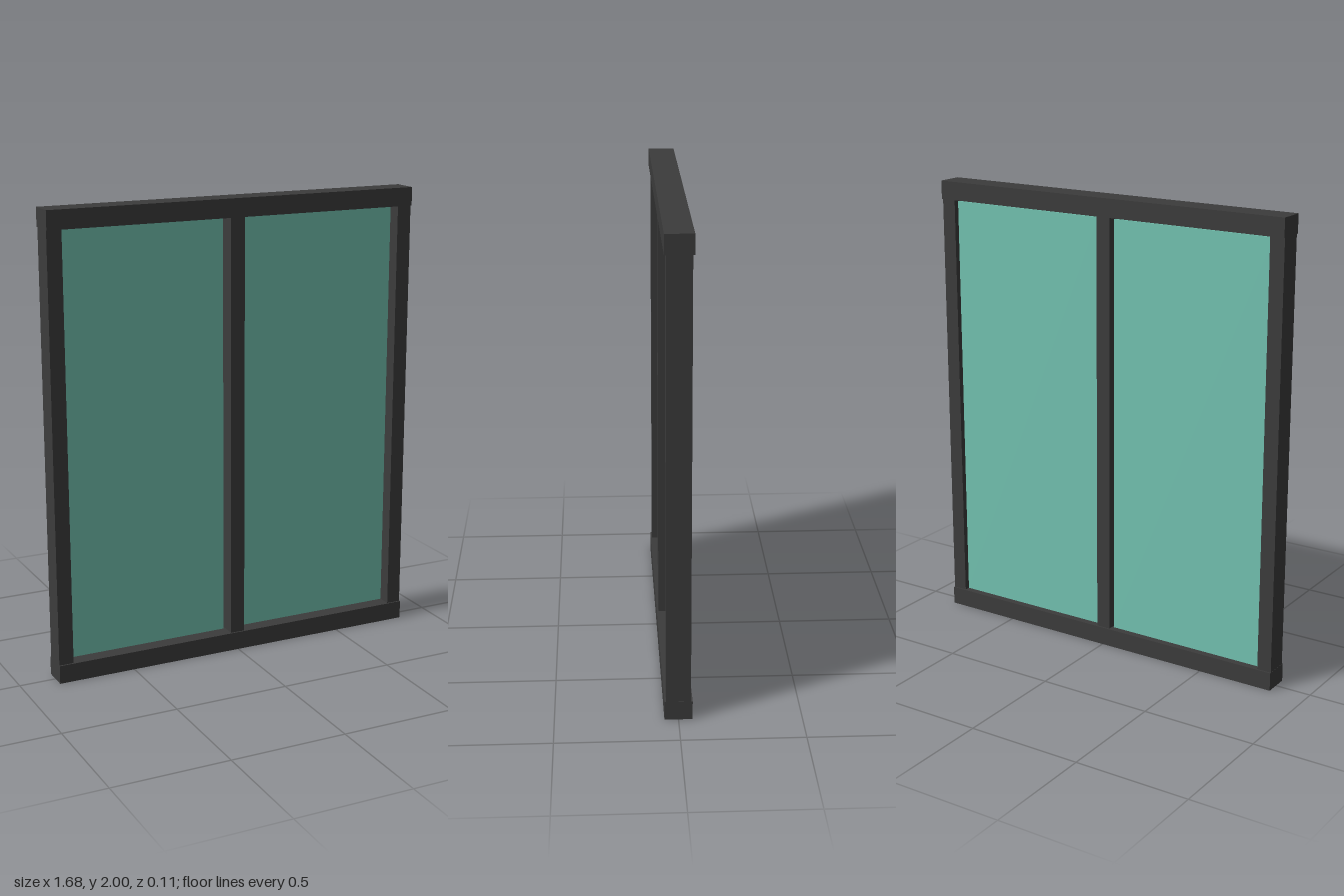
import * as THREE from 'three';

export function createModel() {
  const group = new THREE.Group();
  const frame = new THREE.MeshStandardMaterial({ color: 0x3c3c3c });
  frame.name = 'charcoal frame';
  const glass = new THREE.MeshStandardMaterial({ color: 0x74c4b2 });
  glass.name = 'green glass';

  function box(name, material, w, h, d, x, y, z = 0) {
    const mesh = new THREE.Mesh(new THREE.BoxGeometry(w, h, d), material);
    mesh.name = name;
    mesh.position.set(x, y, z);
    group.add(mesh);
  }

  // Deeper rails cap the uprights
  const rail = 0.08;
  box('topRail', frame, 1.68, rail, 0.114, 0, 2 - rail / 2);
  box('bottomRail', frame, 1.68, rail, 0.114, 0, rail / 2);

  // Uprights between the rails
  const height = 2 - 2 * rail;
  box('centreMullion', frame, 0.064, height, 0.1, 0, 1);

  for (const [side, s] of [['left', 1], ['right', -1]]) {
    box(side + 'Post', frame, 0.064, height, 0.1, s * 0.807, 1);
    // Panes sit behind the centre, with a slim gap at the top and mullion
    box(side + 'Pane', glass, 0.735, 1.832, 0.016, s * 0.4075, 0.996, -0.018);
  }

  return group;
}
